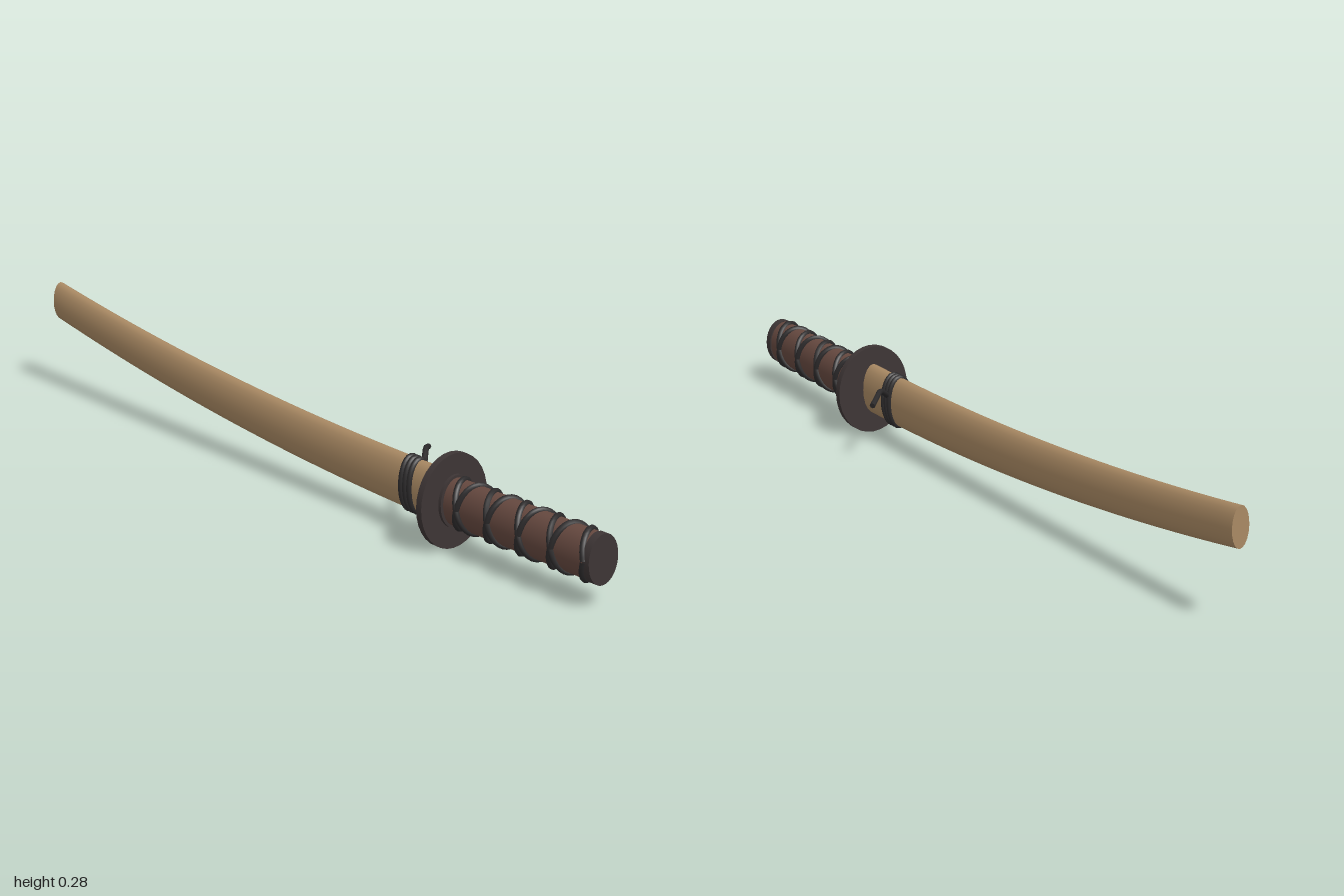
import * as THREE from 'three';

const CX = -0.017, CY = 0.112;
const material = (name, color) => {
  const m = new THREE.MeshStandardMaterial({ color });
  m.name = name;
  return m;
};

// Elliptical cylinder lying along z
function ellipseBar(rx, ry, z0, z1, sides) {
  const g = new THREE.CylinderGeometry(1, 1, z1 - z0, sides);
  g.rotateX(Math.PI / 2);
  g.scale(rx, ry, 1);
  g.translate(CX, CY, (z0 + z1) / 2);
  g.computeVertexNormals();
  return g;
}

// Centre height and taper of the curved scabbard at a given z
const curveY = (z) => 0.114 + 0.0528 * (0.5 - z) ** 2;
const taper = (z) => 1 - 0.23 * ((0.52 - z) / 1.52) ** 1.3;

export function createModel() {
  const group = new THREE.Group();
  const wood = material('tan wood', 0xa98963);
  const grip = material('brown grip', 0x65483f);
  const iron = material('dark iron', 0x3d3535);
  const cord = material('black cord', 0x2c2a2b);

  const add = (name, geometry, mat) => {
    const mesh = new THREE.Mesh(geometry, mat);
    mesh.name = name;
    group.add(mesh);
    return mesh;
  };

  // Scabbard: straight bar bent upward and tapered toward its tip
  const scabbard = new THREE.CylinderGeometry(1, 1, 1.52, 20, 28);
  scabbard.rotateX(Math.PI / 2);
  const p = scabbard.attributes.position;
  for (let i = 0; i < p.count; i++) {
    const z = p.getZ(i) - 0.24;
    const s = taper(Math.min(z, 0.52));
    p.setXYZ(i, CX + p.getX(i) * 0.029 * s, curveY(z) + p.getY(i) * 0.063 * s, z);
  }
  scabbard.computeVertexNormals();
  add('scabbard', scabbard, wood);

  // Guard, grip, collar and pommel
  add('guard', ellipseBar(0.097, 0.111, 0.515, 0.532, 32).translate(0, 0.111 - CY, 0), iron);
  add('grip', ellipseBar(0.04, 0.056, 0.52, 0.985, 28), grip);
  add('collar', ellipseBar(0.047, 0.062, 0.53, 0.54, 28), iron);
  add('pommel', ellipseBar(0.043, 0.058, 0.98, 1, 28), iron);

  // Two mirrored spirals crossing on the sides of the grip
  const turns = 4.5;
  for (const dir of [1, -1]) {
    const points = [];
    const steps = turns * 16;
    for (let i = 0; i <= steps; i++) {
      const a = (i / 16) * Math.PI * 2 * dir;
      points.push(new THREE.Vector3(
        CX + 0.041 * Math.cos(a), CY + 0.056 * Math.sin(a), 0.535 + 0.447 * i / steps));
    }
    const path = new THREE.CatmullRomCurve3(points);
    add('gripWrap', new THREE.TubeGeometry(path, 150, 0.0075, 8), cord);
  }

  // Cord bands around the scabbard
  for (const z of [0.386, 0.4, 0.414]) {
    const points = [];
    for (let i = 0; i < 24; i++) {
      const a = i / 24 * Math.PI * 2;
      points.push(new THREE.Vector3(CX + 0.029 * Math.cos(a), curveY(z) + 0.062 * Math.sin(a), z));
    }
    const path = new THREE.CatmullRomCurve3(points, true);
    add('cordBand', new THREE.TubeGeometry(path, 40, 0.0072, 8, true), cord);
  }

  // Loose cord end, bent once, with a closed tip
  const tip = new THREE.Vector3(0.109, 0.15, 0.3);
  const tail = new THREE.CatmullRomCurve3([
    new THREE.Vector3(0.006, 0.128, 0.4),
    new THREE.Vector3(0.035, 0.15, 0.372),
    new THREE.Vector3(0.062, 0.165, 0.345),
    new THREE.Vector3(0.085, 0.159, 0.322),
    tip,
  ]);
  add('cordTail', new THREE.TubeGeometry(tail, 20, 0.007, 8), cord);
  const cap = add('cordTip', new THREE.CircleGeometry(0.007, 8), cord);
  cap.position.copy(tip);
  cap.lookAt(tip.clone().add(tail.getTangent(1)));

  return group;
}
